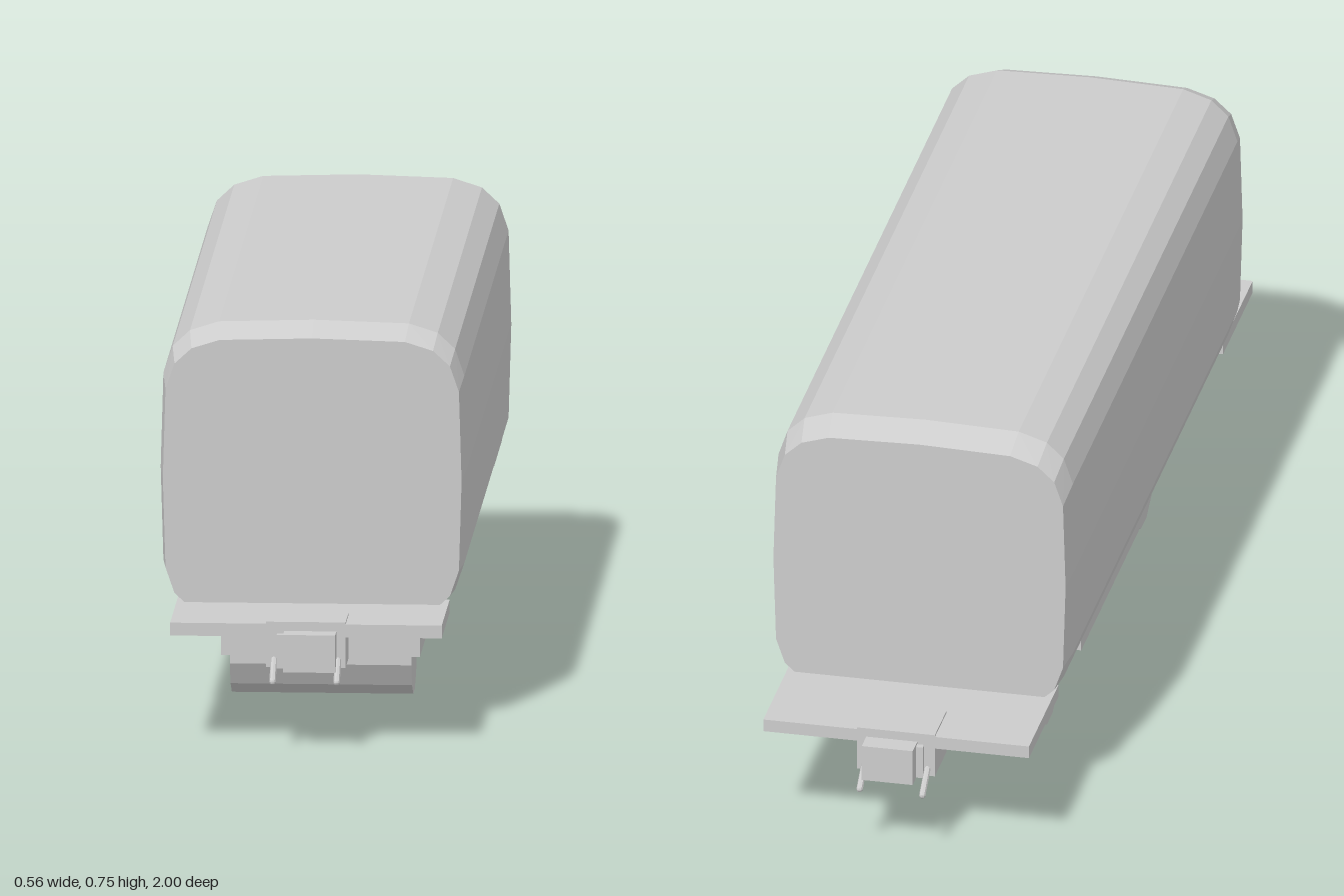
import * as THREE from 'three';
import { ConvexGeometry } from 'three/addons/geometries/ConvexGeometry.js';

const material = new THREE.MeshStandardMaterial({ color: 0xcccccc, flatShading: true });

function add(parent, name, geometry, x = 0, y = 0, z = 0) {
  const mesh = new THREE.Mesh(geometry, material);
  mesh.name = name;
  mesh.position.set(x, y, z);
  parent.add(mesh);
  return mesh;
}

// Box given by its limits on each axis
function addBox(parent, name, [x0, x1], [y0, y1], [z0, z1]) {
  return add(parent, name, new THREE.BoxGeometry(x1 - x0, y1 - y0, z1 - z0),
    (x0 + x1) / 2, (y0 + y1) / 2, (z0 + z1) / 2);
}

// Rounded body section, with smaller rings at the ends for the bevel
function bodyGeometry() {
  const half = [
    [0, 0.752], [0.175, 0.747], [0.228, 0.73], [0.26, 0.7], [0.277, 0.65], [0.282, 0.475],
    [0.277, 0.3], [0.26, 0.25], [0.228, 0.22], [0.18, 0.205], [0, 0.2],
  ];
  const points = [];
  for (const [z, sx, sy] of [[0.7, 1, 1], [0.753, 0.975, 0.955]]) {
    for (const end of [-1, 1]) {
      for (const [x, y] of half) {
        const py = 0.2 + (y - 0.2) * sy;
        points.push(new THREE.Vector3(x * sx, py, z * end));
        if (x > 0) points.push(new THREE.Vector3(-x * sx, py, z * end));
      }
    }
  }
  return new ConvexGeometry(points);
}

// z range mirrored to the front (1) or back (-1) end
const span = (a, b, end) => (end > 0 ? [a, b] : [-b, -a]);

function addCoupler(parent, end) {
  const coupler = new THREE.Group();
  coupler.name = end > 0 ? 'frontCoupler' : 'backCoupler';
  parent.add(coupler);
  addBox(coupler, 'couplerMount', [-0.073, 0.073], [0.15, 0.235], span(0.855, 0.953, end));
  addBox(coupler, 'couplerHead', [-0.04, 0.056], [0.148, 0.218], span(0.95, 0.992, end));
  addBox(coupler, 'couplerSide', [-0.053, -0.04], [0.15, 0.213], span(0.95, 0.965, end));
  // Slanted hoses on both sides of the head
  for (const x of [-0.059, 0.059]) {
    const path = new THREE.LineCurve3(
      new THREE.Vector3(x, 0.164, 0.952 * end), new THREE.Vector3(x, 0.131, 0.996 * end));
    add(coupler, 'couplerHose', new THREE.TubeGeometry(path, 1, 0.006, 8));
    for (const t of [0, 1]) {
      const p = path.getPoint(t);
      add(coupler, 'hoseEnd', new THREE.SphereGeometry(0.006, 8, 6), p.x, p.y, p.z);
    }
  }
}

export function createModel() {
  const model = new THREE.Group();
  model.name = 'railCar';

  add(model, 'body', bodyGeometry());
  addBox(model, 'underfloorBox', [-0.198, 0.198], [0.08, 0.208], [-0.272, 0.272]);

  for (const end of [1, -1]) {
    addBox(model, 'endDeck', [-0.25, 0.25], [0.207, 0.231], span(0.7, 0.952, end));
    addCoupler(model, end);

    // Bogie with a twelve-sided wheel drum
    addBox(model, 'bogieFrame', [-0.183, 0.183], [0.082, 0.21], span(0.308, 0.492, end));
    const drum = new THREE.CylinderGeometry(0.0932, 0.0932, 0.334, 12);
    drum.rotateY(Math.PI / 12).rotateZ(Math.PI / 2);
    add(model, 'wheelDrum', drum, 0, 0.09, 0.4 * end);
  }
  return model;
}
